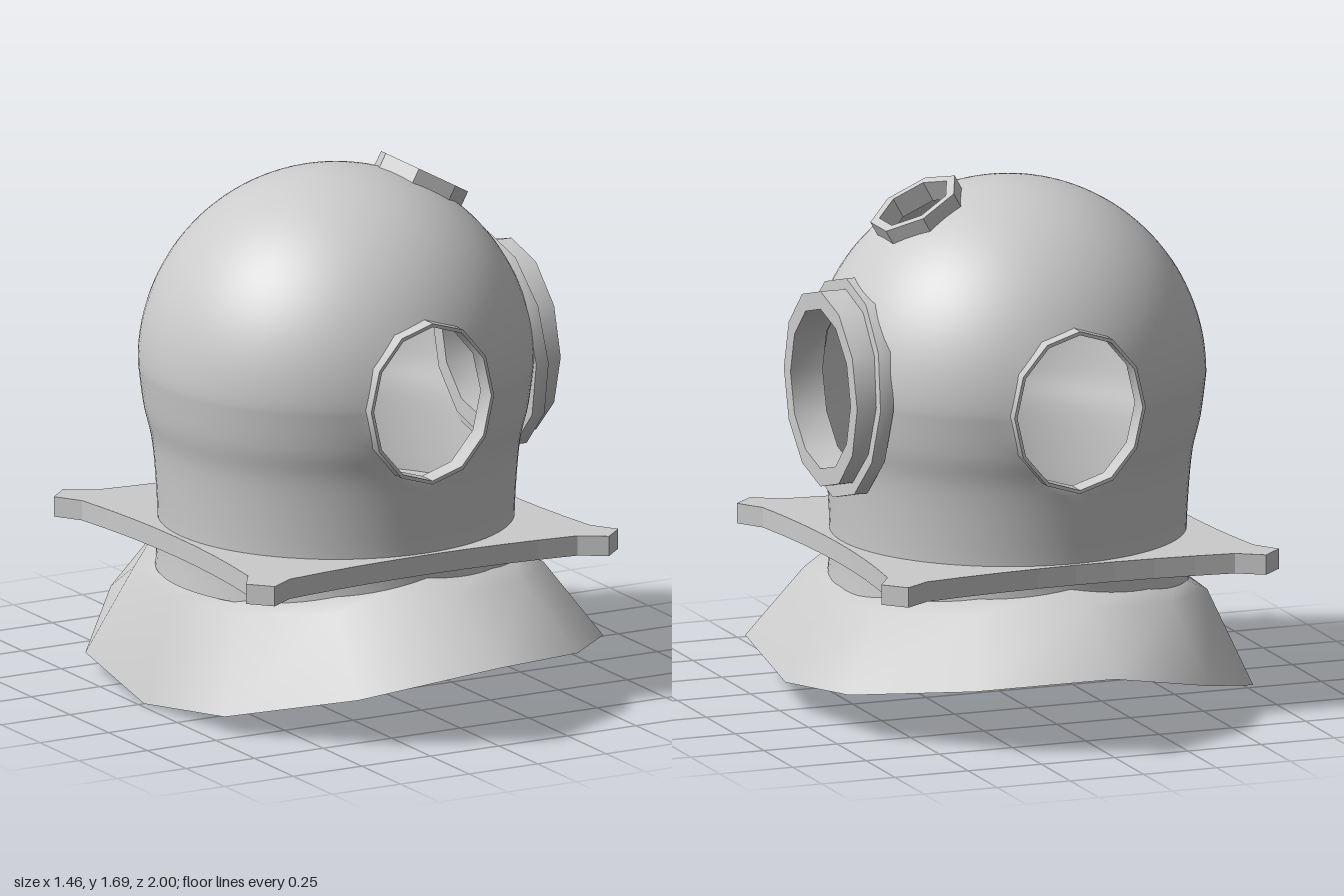
import * as THREE from 'three';
import { mergeVertices, toCreasedNormals } from 'three/addons/utils/BufferGeometryUtils.js';

const material = new THREE.MeshStandardMaterial({ color: 0xcccccc, side: THREE.DoubleSide });
const CX = -0.03, CY = 1.04, R = 0.63; // dome centre and radius

function part(name, geometry) {
  const mesh = new THREE.Mesh(geometry, material);
  mesh.name = name;
  return mesh;
}

// Square-section ring around the y axis, from y0 to y1
function ring(inner, outer, y0, y1, sides) {
  const profile = [[outer, y0], [outer, y1], [inner, y1], [inner, y0], [outer, y0]];
  return new THREE.LatheGeometry(profile.map(p => new THREE.Vector2(...p)), sides);
}
const crease = g => toCreasedNormals(g, 0.6);

// Openings: axis, the two directions across it, and the two radii
const V = (x, y, z) => new THREE.Vector3(x, y, z);
const tilt = 0.505; // lean of the top hatch towards +x
const s = Math.sin(tilt), c = Math.cos(tilt);
const holes = [
  { n: V(0, 0, 1), u: V(1, 0, 0), v: V(0, 1, 0), ru: 0.219, rv: 0.26 },
  { n: V(0, 0, -1), u: V(1, 0, 0), v: V(0, 1, 0), ru: 0.219, rv: 0.26 },
  { n: V(1, 0, 0), u: V(0, 0, 1), v: V(0, 1, 0), ru: 0.28, rv: 0.28 },
  { n: V(s, c, 0), u: V(c, -s, 0), v: V(0, 0, 1), ru: 0.13, rv: 0.13 },
];

// Dome: fine lathe, vertices inside an opening are pushed to its 12-sided edge
function domeGeometry() {
  const lower = new THREE.SplineCurve(
    [[0.575, 0.37], [0.568, 0.47], [0.57, 0.6], [0.585, 0.78], [0.612, 0.9], [R, CY]]
      .map(([r, y]) => new THREE.Vector2(r, y - CY)));
  const profile = lower.getPoints(26);
  for (let i = 1; i <= 32; i++) {
    const a = i / 32 * Math.PI / 2;
    profile.push(new THREE.Vector2(i === 32 ? 0 : R * Math.cos(a), R * Math.sin(a)));
  }
  let g = new THREE.LatheGeometry(profile, 80);
  g.deleteAttribute('uv');
  g.deleteAttribute('normal');
  g = mergeVertices(g, 1e-4);

  const pos = g.attributes.position, inside = [], p = V(0, 0, 0);
  const step = Math.PI / 6;
  for (let i = 0; i < pos.count; i++) {
    p.fromBufferAttribute(pos, i);
    inside[i] = -1;
    holes.forEach((h, k) => {
      if (inside[i] >= 0 || p.dot(h.n) < 0.3) return;
      const a = p.dot(h.u) / h.ru + 1e-6, b = p.dot(h.v) / h.rv;
      const d = Math.hypot(a, b), t = Math.atan2(b, a) + 2 * Math.PI;
      const edge = Math.cos(step / 2) / Math.cos(t % step - step / 2);
      if (d >= edge) return;
      inside[i] = k;
      const au = a / d * edge * h.ru, bv = b / d * edge * h.rv;
      p.copy(h.n).multiplyScalar(Math.sqrt(R * R - au * au - bv * bv))
        .addScaledVector(h.u, au).addScaledVector(h.v, bv);
    });
    pos.setXYZ(i, p.x, p.y, p.z);
  }
  const index = [];
  for (let i = 0; i < g.index.count; i += 3) {
    const t = [0, 1, 2].map(j => g.index.getX(i + j));
    const k = inside[t[0]];
    if (!(k >= 0 && inside[t[1]] === k && inside[t[2]] === k)) index.push(...t);
  }
  g.setIndex(index);
  g.computeVertexNormals();
  return g.translate(CX, CY, 0);
}

// Clamp plate: solid square plate with hollowed sides and a lug on each corner
function plateGeometry() {
  const shape = new THREE.Shape();
  const corner = [[0.62, 0.53], [0.675, 0.615], [0.61, 0.685], [0.525, 0.63]];
  for (let q = 0; q < 4; q++) {
    const a = q * Math.PI / 2;
    const turn = ([x, y]) => [x * Math.cos(a) - y * Math.sin(a), x * Math.sin(a) + y * Math.cos(a)];
    corner.forEach((pt, i) => (q || i ? shape.lineTo(...turn(pt)) : shape.moveTo(...turn(pt))));
    shape.quadraticCurveTo(...turn([0, 0.55]), ...turn([-0.53, 0.62]));
  }
  const g = new THREE.ExtrudeGeometry(shape, { depth: 0.065, bevelEnabled: false, curveSegments: 8 });
  return g.rotateX(-Math.PI / 2).translate(CX, 0.47, 0);
}

// Breastplate collar: three loops of 12 points; each quarter listed from z to x
function collarGeometry() {
  const loops = [
    { lean: 0.062, q: [[0, 0.255, 1], [0.4, 0.18, 0.8], [0.69, 0.1, 0.45], [0.73, 0.045, 0]] },
    { lean: 0.02, q: [[0, 0.42, 0.7], [0.34, 0.39, 0.58], [0.56, 0.365, 0.33], [0.605, 0.35, 0]] },
    { lean: 0.02, q: [[0, 0.455, 0.56], [0.28, 0.425, 0.48], [0.48, 0.4, 0.28], [0.55, 0.385, 0]] },
  ];
  const pos = [], index = [];
  loops.forEach(({ lean, q }, r) => {
    for (let i = 0; i < 12; i++) {
      const k = i % 6 <= 3 ? i % 6 : 6 - i % 6;
      const x = q[k][0] * (i < 6 ? 1 : -1);
      const z = q[k][2] * (i > 3 && i < 9 ? -1 : 1);
      pos.push(x - (r ? 0.02 : 0), q[k][1] + lean * x, z);
      if (r < 2) {
        const a = r * 12 + i, b = r * 12 + (i + 1) % 12;
        index.push(a, b, b + 12, a, b + 12, a + 12);
      }
    }
  });
  const g = new THREE.BufferGeometry();
  g.setAttribute('position', new THREE.Float32BufferAttribute(pos, 3));
  g.setIndex(index);
  g.computeVertexNormals();
  return g;
}

export function createModel() {
  const model = new THREE.Group();
  model.name = 'divingHelmet';
  model.add(part('dome', domeGeometry()));
  model.add(part('clampPlate', plateGeometry()));
  model.add(part('collar', collarGeometry()));

  // Oval window rims on both z sides
  for (const side of [1, -1]) {
    const g = ring(0.253, 0.265, 0.555, 0.625, 12).rotateX(side * Math.PI / 2);
    g.scale(0.845, 1, 1).translate(CX, CY, 0);
    model.add(part(side > 0 ? 'frontWindowRim' : 'backWindowRim', crease(g)));
  }

  // Large window on the +x side: tilted, bowed base ring and a straight barrel
  const base = ring(0.27, 0.355, 0.485, 0.53, 12).rotateZ(-Math.PI / 2);
  const pos = base.attributes.position;
  for (let i = 0; i < pos.count; i++) {
    const y = pos.getY(i);
    pos.setX(i, pos.getX(i) + 0.015 - 0.065 * y);
  }
  model.add(part('sideWindowBase', crease(base.translate(0, 1.035, 0))));
  const barrel = ring(0.26, 0.318, 0.5, 0.61, 12).rotateZ(-Math.PI / 2).translate(0, 1.037, 0);
  model.add(part('sideWindowBarrel', crease(barrel)));

  // Small seven-sided hatch rim near the top
  const hatch = ring(0.125, 0.157, 0.59, 0.66, 7).rotateY(-Math.PI / 2).rotateZ(-tilt);
  model.add(part('topHatchRim', crease(hatch.translate(CX, CY, 0))));
  return model;
}
